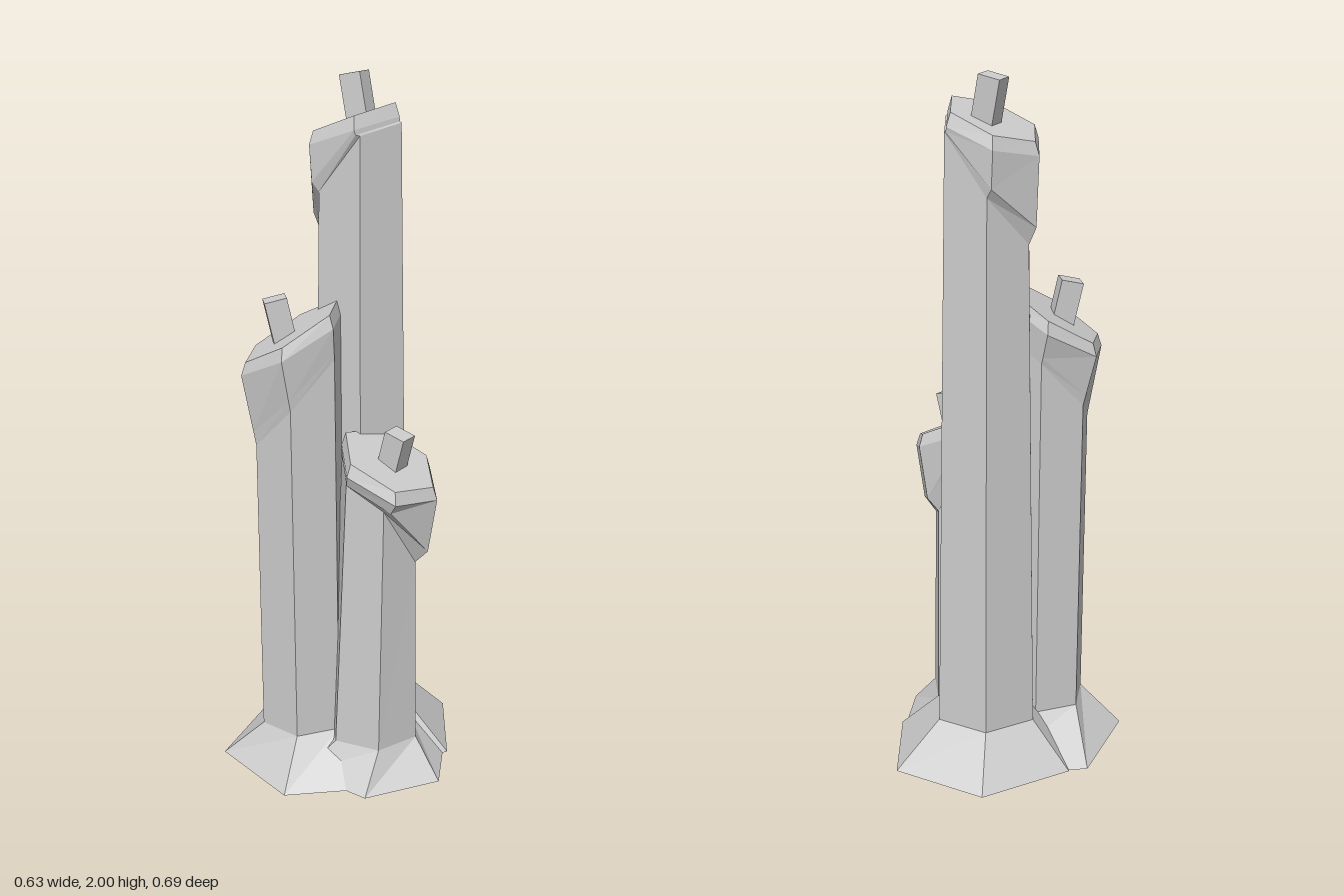
import * as THREE from 'three';

const material = new THREE.MeshStandardMaterial({ color: 0xcccccc, flatShading: true });
const { degToRad, lerp } = THREE.MathUtils;

// Six-sided ring around (x, z); heightAt gives the height for each corner angle
function hexRing([x, z], radius, turn, heightAt) {
  return Array.from({ length: 6 }, (_, k) => {
    const deg = turn + 60 * k;
    const a = degToRad(deg);
    return new THREE.Vector3(x + radius * Math.cos(a), heightAt(deg), z + radius * Math.sin(a));
  });
}

// Skin a stack of rings from bottom to top and close both ends with fans
function loft(rings, bottom) {
  const pos = [];
  const tri = (...points) => points.forEach((p) => pos.push(p.x, p.y, p.z));
  const last = rings[rings.length - 1];
  const top = last.reduce((s, p) => s.add(p), new THREE.Vector3()).divideScalar(6);
  for (let k = 0; k < 6; k++) {
    const n = (k + 1) % 6;
    tri(bottom, rings[0][k], rings[0][n]);
    for (let i = 0; i + 1 < rings.length; i++) {
      const [a, b, c, d] = [rings[i][k], rings[i][n], rings[i + 1][n], rings[i + 1][k]];
      tri(a, d, b);
      tri(b, d, c);
    }
    tri(top, last[n], last[k]);
  }
  const geometry = new THREE.BufferGeometry();
  geometry.setAttribute('position', new THREE.Float32BufferAttribute(pos, 3));
  geometry.computeVertexNormals();
  return geometry;
}

// Hexagonal candle: flared wax pool, column, overhanging drip, slanted top
function makeWax({ turn, pool, foot, neckRadius, head, slant, drip }) {
  const between = (t) => foot.centre.map((v, i) => lerp(v, head.centre[i], t));
  const facing = (deg, toward) => Math.cos(degToRad(deg - toward));
  const lipY = (deg) => head.y + slant.rise * facing(deg, slant.toward);
  const bulgeY = (deg) => lipY(deg) - 0.035;
  const neckY = (deg) => lipY(deg) - drip.least - drip.extra * Math.max(0, facing(deg, drip.toward));
  const rings = [
    hexRing(pool.centre, pool.radius, pool.turn, () => 0.1),
    hexRing(foot.centre, foot.radius, turn, () => foot.y),
    hexRing(between(0.3), neckRadius, turn, neckY),
    hexRing(between(lerp(0.3, 1, drip.swell)), lerp(neckRadius, head.radius, drip.swell), turn,
      (deg) => lerp(neckY(deg), bulgeY(deg), 0.2)),
    hexRing(head.centre, head.radius, turn, bulgeY),
    hexRing(head.centre, head.radius - 0.012, turn, lipY),
  ];
  const wax = new THREE.Mesh(loft(rings, new THREE.Vector3(foot.centre[0], pool.bottom, foot.centre[1])), material);
  wax.name = 'wax';
  return wax;
}

// Square wick leaning from its root to its tip
function makeWick({ root, tip, yaw }) {
  const a = new THREE.Vector3(...root);
  const b = new THREE.Vector3(...tip);
  const dir = b.clone().sub(a);
  const geometry = new THREE.BoxGeometry(0.06, dir.length(), 0.055);
  geometry.rotateY(degToRad(yaw));
  const wick = new THREE.Mesh(geometry, material);
  wick.quaternion.setFromUnitVectors(new THREE.Vector3(0, 1, 0), dir.normalize());
  wick.position.copy(a).add(b).multiplyScalar(0.5);
  wick.name = 'wick';
  return wick;
}

// Centres are [x, z]; angles run in degrees from +x toward +z
const candles = [
  {
    name: 'tallCandle', turn: 12.5, neckRadius: 0.122,
    pool: { centre: [0.023, -0.081], radius: 0.277, turn: 12.5, bottom: 0.05 },
    foot: { centre: [0.013, -0.083], radius: 0.151, y: 0.23 },
    head: { centre: [-0.01, -0.085], radius: 0.133, y: 1.885 },
    slant: { toward: 12.5, rise: 0.048 },
    drip: { toward: 192.5, least: 0.05, extra: 0.21, swell: 0.75 },
    wick: { root: [0.005, 1.86, -0.108], tip: [-0.022, 1.995, -0.118], yaw: -8 },
  },
  {
    name: 'middleCandle', turn: 21, neckRadius: 0.122,
    pool: { centre: [-0.052, 0.05], radius: 0.291, turn: 34, bottom: 0.03 },
    foot: { centre: [-0.1, 0.085], radius: 0.125, y: 0.21 },
    head: { centre: [-0.125, 0.09], radius: 0.141, y: 1.352 },
    slant: { toward: 345, rise: 0.08 },
    drip: { toward: 141, least: 0.12, extra: 0.11, swell: 0.2 },
    wick: { root: [-0.138, 1.31, 0.098], tip: [-0.165, 1.44, 0.108], yaw: 27 },
  },
  {
    name: 'shortCandle', turn: 6, neckRadius: 0.108,
    pool: { centre: [0.1, 0.066], radius: 0.224, turn: 19, bottom: 0 },
    foot: { centre: [0.1, 0.075], radius: 0.13, y: 0.2 },
    head: { centre: [0.143, 0.085], radius: 0.138, y: 1.02 },
    slant: { toward: 201, rise: 0.06 },
    drip: { toward: 336, least: 0.07, extra: 0.18, swell: 0.6 },
    wick: { root: [0.145, 0.98, 0.085], tip: [0.175, 1.1, 0.096], yaw: -17 },
  },
];

export function createModel() {
  const model = new THREE.Group();
  model.name = 'candleCluster';
  for (const candle of candles) {
    const group = new THREE.Group();
    group.name = candle.name;
    group.add(makeWax(candle), makeWick(candle.wick));
    model.add(group);
  }
  return model;
}
